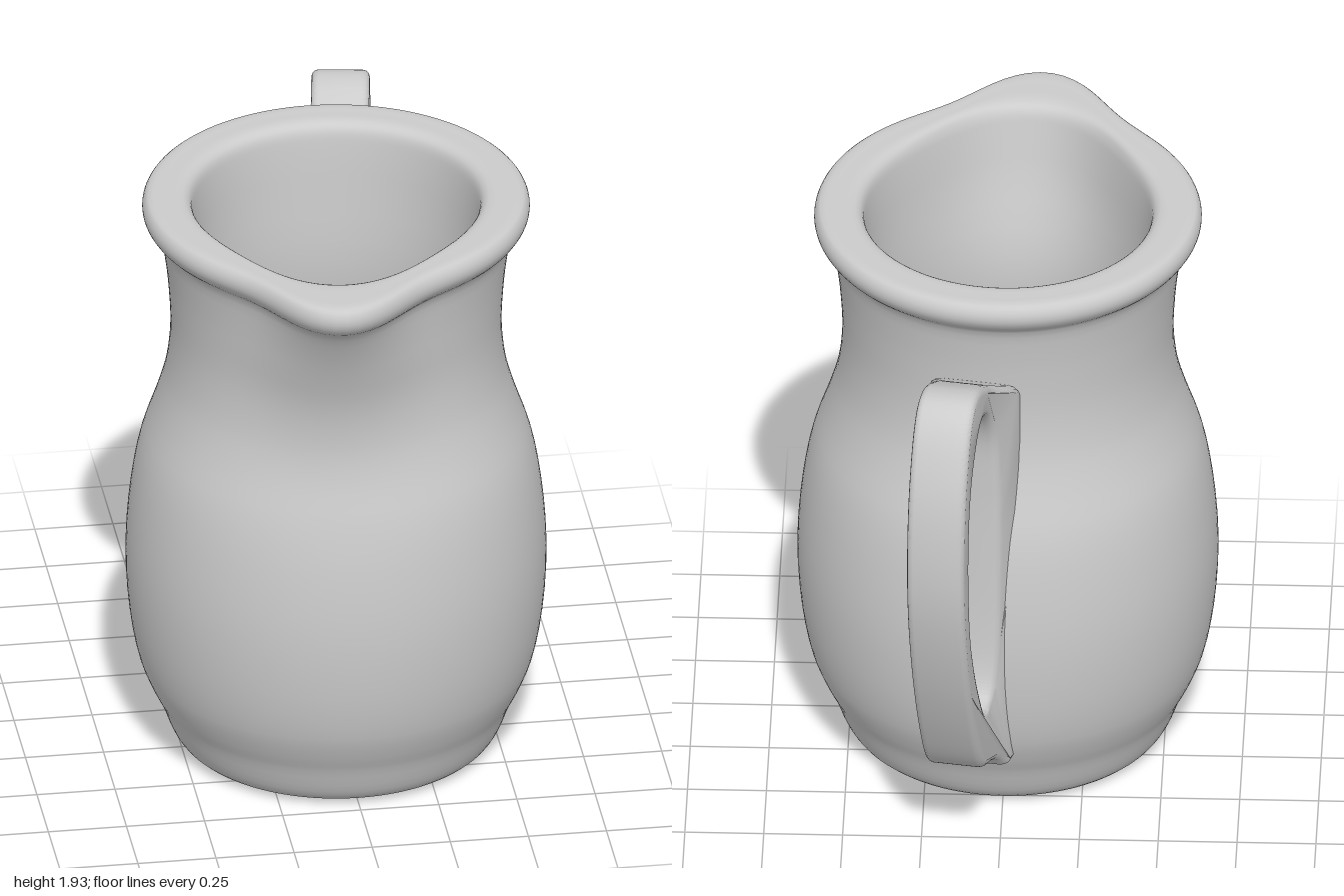
import * as THREE from 'three';
import { mergeVertices, toCreasedNormals } from 'three/addons/utils/BufferGeometryUtils.js';

const material = new THREE.MeshStandardMaterial({ color: 0xcccccc });
const CENTRE_Z = 0.21;   // axis of the vessel
const SPOUT_ANGLE = -0.126;

// radius, height, spout bulge, spout half width (radians)
const PROFILE = [
  [0, 0, 0, 0.3], [0.3, 0, 0, 0.3], [0.44, 0.003, 0, 0.3], [0.495, 0.02, 0, 0.3], [0.525, 0.06, 0, 0.3],
  [0.56, 0.15, 0, 0.3], [0.59, 0.21, 0, 0.3], [0.625, 0.3, 0, 0.3], [0.655, 0.46, 0, 0.3],
  [0.667, 0.68, 0, 0.3], [0.65, 0.9, 0, 0.3], [0.62, 1.06, 0, 0.3], [0.573, 1.2, 0.01, 0.34],
  [0.54, 1.32, 0.03, 0.34], [0.525, 1.46, 0.06, 0.32], [0.53, 1.6, 0.1, 0.3], [0.543, 1.72, 0.14, 0.26],
  [0.562, 1.81, 0.175, 0.23], [0.595, 1.845, 0.185, 0.23], [0.612, 1.875, 0.185, 0.23],
  [0.612, 1.905, 0.185, 0.23], [0.595, 1.93, 0.185, 0.23], [0.54, 1.933, 0.16, 0.26],
  [0.485, 1.93, 0.125, 0.36], [0.462, 1.91, 0.12, 0.4], [0.452, 1.86, 0.115, 0.4],
  [0.44, 1.7, 0.09, 0.4], [0.43, 1.45, 0.03, 0.4], [0.46, 1.22, 0, 0.4], [0.53, 1.0, 0, 0.4],
  [0.565, 0.7, 0, 0.4], [0.54, 0.4, 0, 0.4], [0.46, 0.2, 0, 0.4], [0.36, 0.12, 0, 0.4],
  [0.2, 0.1, 0, 0.4], [0, 0.1, 0, 0.4],
];

// Closed wall with rim, pulled outward around the spout direction
function makeVessel() {
  const curve = new THREE.CatmullRomCurve3(PROFILE.map(([r, y, s]) => new THREE.Vector3(r, y, s)));
  const spans = PROFILE.length - 1, steps = spans * 3;
  const rows = [];
  for (let i = 0; i <= steps; i++) {
    const p = curve.getPoint(i / steps);
    const k = Math.min(Math.floor(i / 3), spans - 1);
    const width = THREE.MathUtils.lerp(PROFILE[k][3], PROFILE[k + 1][3], i / 3 - k);
    rows.push({ r: i === 0 || i === steps ? 0 : Math.max(p.x, 0), y: Math.max(p.y, 0), bulge: p.z, width });
  }
  const geo = new THREE.LatheGeometry(rows.map((p) => new THREE.Vector2(p.r, p.y)), 128, Math.PI);
  const pos = geo.attributes.position;
  for (let i = 0; i < pos.count; i++) {
    const row = rows[i % rows.length];
    const angle = Math.atan2(pos.getX(i), pos.getZ(i));
    const off = (angle - SPOUT_ANGLE) / row.width;
    const r = row.r + row.bulge * Math.exp(-off * off / 2);
    pos.setXYZ(i, r * Math.sin(angle), row.y, r * Math.cos(angle));
  }
  geo.deleteAttribute('uv');
  geo.deleteAttribute('normal');
  const merged = mergeVertices(geo, 1e-5);
  merged.computeVertexNormals();
  return merged;
}

// Loop handle: side outline with a hole, x = distance from the vessel axis
function makeHandle() {
  const points = (list) => list.map(([x, y]) => new THREE.Vector2(x, y));
  const shape = new THREE.Shape();
  shape.moveTo(0.55, 0.23);
  shape.lineTo(0.63, 0.23);
  shape.splineThru(points([[0.69, 0.285], [0.8, 0.33], [0.9, 0.4], [1.0, 0.56], [1.1, 0.78], [1.17, 1.0],
    [1.205, 1.2], [1.205, 1.4], [1.175, 1.58], [1.11, 1.74], [1.03, 1.82], [0.93, 1.825],
    [0.81, 1.77], [0.66, 1.68], [0.53, 1.6]]));
  for (const [x, y] of [[0.485, 1.56], [0.49, 1.35], [0.53, 1.15], [0.59, 0.95], [0.62, 0.7], [0.6, 0.45]]) {
    shape.lineTo(x, y);
  }
  const hole = new THREE.Path();
  hole.moveTo(0.79, 0.54);
  hole.splineThru(points([[0.74, 0.56], [0.71, 0.64], [0.695, 0.8], [0.69, 1.05], [0.692, 1.3], [0.71, 1.5],
    [0.77, 1.62], [0.86, 1.68], [0.95, 1.67], [1.05, 1.56], [1.095, 1.4], [1.1, 1.2], [1.07, 1.0],
    [1.0, 0.82], [0.91, 0.66], [0.84, 0.56], [0.79, 0.54]]));
  shape.holes.push(hole);

  const bevel = 0.022, width = 0.185;
  const geo = new THREE.ExtrudeGeometry(shape, {
    depth: width - 2 * bevel, curveSegments: 48, bevelEnabled: true, bevelSegments: 3,
    bevelSize: bevel, bevelThickness: bevel, bevelOffset: -bevel,
  });
  geo.translate(0, 0, bevel - width / 2);
  // Flare where the handle grows out of the wall
  const pos = geo.attributes.position;
  for (let i = 0; i < pos.count; i++) {
    const flare = 1 - THREE.MathUtils.smoothstep(pos.getX(i), 0.56, 0.76);
    pos.setZ(i, pos.getZ(i) * (1 + 0.5 * flare));
  }
  geo.rotateY(Math.PI / 2);
  return toCreasedNormals(geo, 0.75);
}

export function createModel() {
  const jug = new THREE.Group();
  jug.name = 'jug';

  const vessel = new THREE.Mesh(makeVessel(), material);
  vessel.name = 'vessel';
  vessel.position.z = CENTRE_Z;

  const handle = new THREE.Mesh(makeHandle(), material);
  handle.name = 'handle';
  handle.position.z = CENTRE_Z;
  handle.rotation.y = -0.16;

  jug.add(vessel, handle);
  return jug;
}
